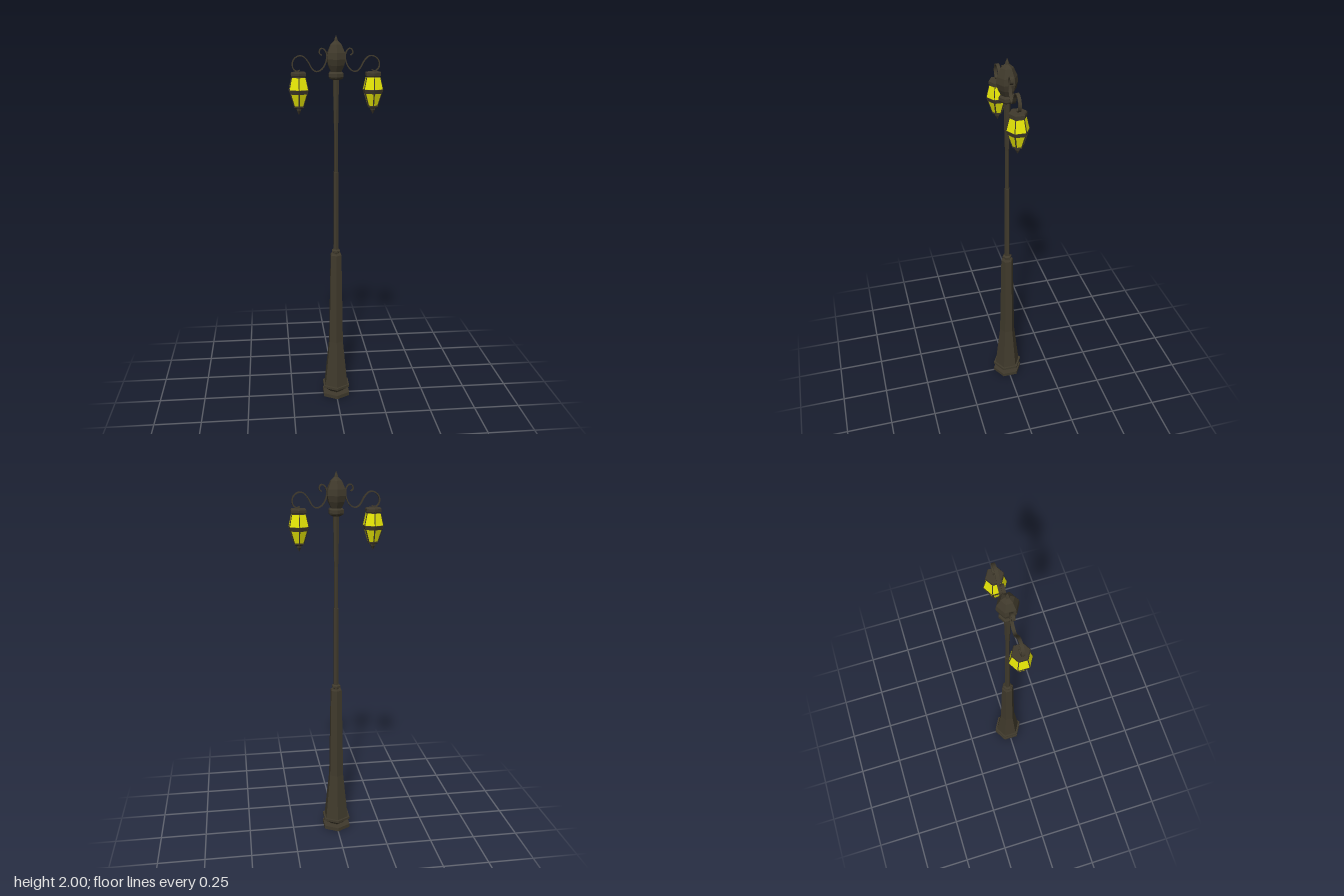
import * as THREE from 'three';

const iron = new THREE.MeshStandardMaterial({ color: 0x403a2c, flatShading: true });
iron.name = 'dark iron';
const glass = new THREE.MeshStandardMaterial({ color: 0xeeee06, flatShading: true });
glass.name = 'yellow glass';

// six-sided turned part from [radius, y] pairs, bottom to top, corners towards +z and -z
function hexTurned(name, profile, material = iron) {
  const points = profile.map(([r, y]) => new THREE.Vector2(r, y));
  const mesh = new THREE.Mesh(new THREE.LatheGeometry(points, 6), material);
  mesh.name = name;
  return mesh;
}

// flat bar following a path in the xy plane, centred on z = 0
function flatBar(name, path, thickness, width) {
  const left = [], right = [];
  path.forEach((p, i) => {
    const a = path[Math.max(i - 1, 0)], b = path[Math.min(i + 1, path.length - 1)];
    const n = new THREE.Vector2(a.y - b.y, b.x - a.x).setLength(thickness / 2);
    left.push(p.clone().add(n));
    right.unshift(p.clone().sub(n));
  });
  const geometry = new THREE.ExtrudeGeometry(new THREE.Shape([...left, ...right]), {
    depth: width, bevelEnabled: false,
  });
  geometry.translate(0, 0, -width / 2);
  const mesh = new THREE.Mesh(geometry, iron);
  mesh.name = name;
  return mesh;
}

// one bar along each of the six corners of a turned part
function cornerRibs(name, profile, thickness, width) {
  const group = new THREE.Group();
  group.name = name;
  const path = profile.map(([r, y]) => new THREE.Vector2(r, y));
  for (let k = 0; k < 6; k++) {
    const rib = flatBar('rib', path, thickness, width);
    rib.rotation.y = -Math.PI / 2 + (k * Math.PI) / 3;
    group.add(rib);
  }
  return group;
}

function makeLantern() {
  const lantern = new THREE.Group();
  lantern.name = 'lantern';
  const foot = [0.027, 1.645], waist = [0.0555, 1.73], neck = [0.041, 1.79];
  lantern.add(
    hexTurned('lanternGlass', [foot, waist, neck], glass),
    cornerRibs('upperRibs', [waist, neck], 0.002, 0.004),
    cornerRibs('lowerRibs', [foot, waist], 0.003, 0.006),
    hexTurned('lanternBand', [[0.049, 1.708], [0.0505, 1.708], [0.0565, 1.728], [0.0545, 1.73]]),
    hexTurned('lanternCap', [[0, 1.787], [0.037, 1.787], [0.037, 1.795], [0.044, 1.798],
      [0.044, 1.812], [0.04, 1.818], [0, 1.818]]),
    hexTurned('lanternTip', [[0, 1.602], [0.006, 1.613], [0.012, 1.623], [0.014, 1.633],
      [0.028, 1.639], [0.029, 1.647], [0, 1.647]]),
  );
  return lantern;
}

// scroll from the curl beside the finial to the hook over the lantern
function makeArm() {
  const curve = new THREE.SplineCurve([
    [0.073, 1.9], [0.085, 1.912], [0.08, 1.93], [0.066, 1.933], [0.052, 1.918], [0.047, 1.89],
    [0.056, 1.855], [0.075, 1.829], [0.1, 1.82], [0.122, 1.834], [0.142, 1.869], [0.165, 1.894],
    [0.19, 1.897], [0.212, 1.883], [0.222, 1.859], [0.217, 1.835], [0.2, 1.822], [0.184, 1.828],
  ].map(([x, y]) => new THREE.Vector2(x, y)));
  return flatBar('scrollArm', curve.getPoints(64), 0.006, 0.016);
}

export function createModel() {
  const model = new THREE.Group();
  model.name = 'streetLamp';

  // pedestal
  model.add(
    hexTurned('footPlate', [[0, 0], [0.083, 0], [0.083, 0.02], [0, 0.02]]),
    hexTurned('footFlare', [[0.04, 0.018], [0.042, 0.024], [0.068, 0.045], [0.083, 0.053],
      [0.083, 0.066], [0, 0.068]]),
    hexTurned('pedestal', [[0.072, 0.064], [0.043, 0.33], [0.033, 0.84], [0.029, 0.846], [0, 0.846]]),
  );

  // post
  model.add(
    hexTurned('collar', [[0.016, 0.844], [0.016, 0.852], [0.025, 0.856], [0.025, 0.866],
      [0.016, 0.872], [0, 0.874]]),
    hexTurned('lowerPost', [[0.015, 0.87], [0.0135, 1.3], [0, 1.303]]),
    hexTurned('upperPost', [[0.011, 1.3], [0.011, 1.52], [0.013, 1.56], [0.017, 1.785]]),
  );

  // head and finial
  model.add(
    hexTurned('capital', [[0, 1.775], [0.022, 1.778], [0.038, 1.786], [0.042, 1.793],
      [0.042, 1.81], [0.036, 1.818], [0, 1.818]]),
    hexTurned('finial', [[0.028, 1.815], [0.046, 1.85], [0.054, 1.88], [0.05, 1.912],
      [0.031, 1.953], [0.011, 1.97], [0.008, 1.98], [0, 2]]),
  );

  // an arm and a lantern on each side
  for (const side of [1, -1]) {
    const branch = new THREE.Group();
    branch.name = side > 0 ? 'leftBranch' : 'rightBranch';
    const lantern = makeLantern();
    lantern.position.x = 0.191;
    branch.add(makeArm(), lantern);
    if (side < 0) branch.rotation.y = Math.PI;
    model.add(branch);
  }
  return model;
}
